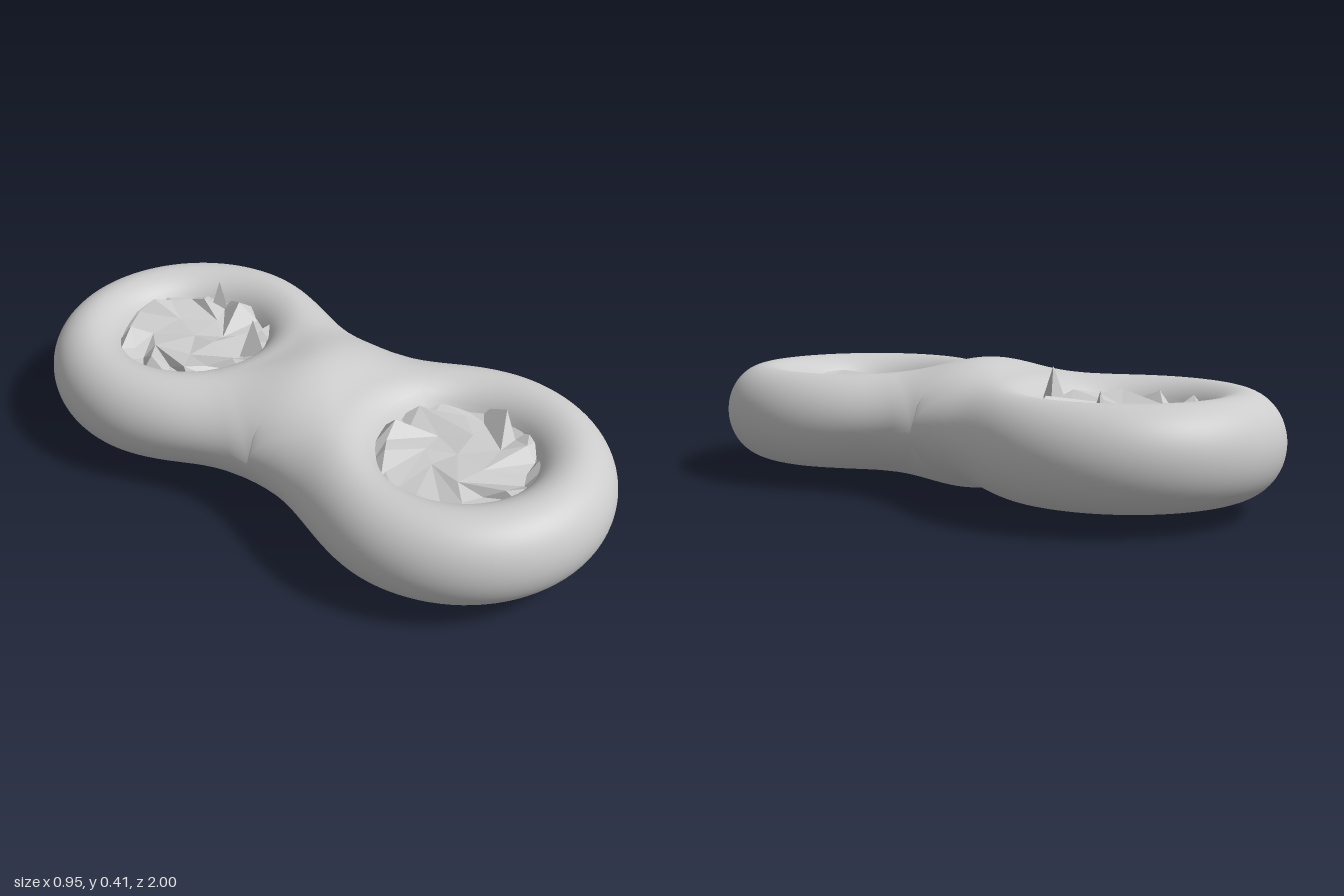
import * as THREE from 'three';
import { mergeVertices } from 'three/addons/utils/BufferGeometryUtils.js';

const MID = 0.207;        // height of the middle plane
const HOLE_Z = 0.525;     // distance of each hole from the centre
const LOBE = 0.475;       // outer radius of a lobe
const NECK = 0.345;       // half width of the waist
const RIM = 0.235;        // radius where the ring wall meets the crumpled caps
const TUBE = 0.13;        // rounding radius of the ring

const round = (d, a) => Math.sqrt(Math.max(0, 1 - (1 - Math.min(Math.max(d, 0) / a, 1)) ** 2));

// Half width of the outline at a given z (z >= 0)
function halfWidth(z) {
  if (z > HOLE_Z) return Math.sqrt(Math.max(0, LOBE ** 2 - (z - HOLE_Z) ** 2));
  return (LOBE + NECK) / 2 - (LOBE - NECK) / 2 * Math.cos(Math.PI * z / HOLE_Z);
}

// Half thickness of the body above a plan point
function halfHeight(x, z) {
  const r = Math.hypot(x, z - HOLE_Z);
  const slope = (LOBE - NECK) / 2 * Math.PI / HOLE_Z * Math.sin(Math.PI * z / HOLE_Z);
  const dOut = z > HOLE_Z ? LOBE - r : (halfWidth(z) - Math.abs(x)) / Math.hypot(1, slope);
  const edge = TUBE + (NECK - TUBE) * Math.exp(-((z / 0.2) ** 2));
  const full = 0.15 + 0.055 * Math.exp(-((z / 0.15) ** 2));
  return full * round(dOut, edge) * round(r - 0.22, TUBE);
}

// Length of a ray from the hole centre to the outline or the waist plane
function reach(angle) {
  let lo = RIM, hi = 0.8;
  for (let i = 0; i < 40; i++) {
    const m = (lo + hi) / 2;
    const x = Math.abs(Math.sin(angle)) * m, z = HOLE_Z + Math.cos(angle) * m;
    if (z >= 0 && x < halfWidth(z)) lo = m; else hi = m;
  }
  return lo;
}

// Smooth two-holed body: one lobe patch mirrored up/down and front/back
function bodyGeometry() {
  const corner = Math.PI - Math.atan(NECK / HOLE_Z);
  const half = [];
  for (let i = 0; i < 36; i++) half.push(corner * i / 36);
  for (let i = 0; i < 14; i++) half.push(corner + (Math.PI - corner) * i / 14);
  const angles = [...half, Math.PI, ...half.slice(1).reverse().map(a => 2 * Math.PI - a)];
  const rings = 24, n = angles.length;
  const pos = [], idx = [];
  for (const sy of [1, -1]) for (const sz of [1, -1]) {
    const base = pos.length / 3;
    for (const a of angles) {
      const end = reach(a);
      for (let j = 0; j <= rings; j++) {
        const r = RIM + (end - RIM) * Math.sin(j / rings * Math.PI / 2);
        const x = Math.sin(a) * r;
        let z = HOLE_Z + Math.cos(a) * r;
        if (z < 1e-6) z = 0;
        const h = j === rings && z > 0 ? 0 : halfHeight(x, z);
        pos.push(x, MID + sy * h, sz * z);
      }
    }
    for (let i = 0; i < n; i++) for (let j = 0; j < rings; j++) {
      const a = base + i * (rings + 1) + j, b = base + ((i + 1) % n) * (rings + 1) + j;
      if (sy * sz > 0) idx.push(a, a + 1, b, b, a + 1, b + 1);
      else idx.push(a, b, a + 1, b, b + 1, a + 1);
    }
  }
  let g = new THREE.BufferGeometry();
  g.setAttribute('position', new THREE.Float32BufferAttribute(pos, 3));
  g.setIndex(idx);
  g = mergeVertices(g, 1e-4);
  g.computeVertexNormals();
  return g;
}

function seeded(seed) {
  let s = seed;
  return () => (s = (s * 16807) % 2147483647) / 2147483647;
}

// Crumpled sheet closing one side of a hole
function capGeometry(sy, seed) {
  const rand = seeded(seed), jit = a => (rand() * 2 - 1) * a;
  const n = 21, pos = [], idx = [];
  const ring = (count, radius, dr, height, dh) => {
    for (let i = 0; i < count; i++) {
      const a = (i + jit(0.25)) / count * Math.PI * 2, r = radius + jit(dr);
      pos.push(Math.sin(a) * r, sy * (height + jit(dh)), Math.cos(a) * r);
    }
  };
  ring(n, 0.255, 0.004, 0.085, 0.012);
  ring(n, 0.215, 0.025, 0.095, 0.035);
  ring(7, 0.12, 0.03, 0.085, 0.015);
  pos.push(0, sy * 0.085, 0);
  const tri = (a, b, c) => (sy > 0 ? idx.push(a, b, c) : idx.push(a, c, b));
  for (let i = 0; i < n; i++) {
    const k = (i + 1) % n;
    const p = 2 * n + Math.floor(i / 3), q = 2 * n + Math.floor(k / 3);
    tri(i, k, n + i);
    tri(k, n + k, n + i);
    tri(n + i, n + k, p);
    if (p !== q) {
      tri(n + k, q, p);
      tri(p, q, 2 * n + 7);
    }
  }
  const g = new THREE.BufferGeometry();
  g.setAttribute('position', new THREE.Float32BufferAttribute(pos, 3));
  g.setIndex(idx);
  const flat = g.toNonIndexed();
  flat.computeVertexNormals();
  return flat;
}

export function createModel() {
  const model = new THREE.Group();
  const smooth = new THREE.MeshStandardMaterial({ color: 0xcccccc });
  const faceted = new THREE.MeshStandardMaterial({ color: 0xcccccc, flatShading: true, side: THREE.DoubleSide });
  const add = (name, geometry, material, x, y, z) => {
    const mesh = new THREE.Mesh(geometry, material);
    mesh.name = name;
    mesh.position.set(x, y, z);
    model.add(mesh);
    return mesh;
  };

  add('body', bodyGeometry(), smooth, 0, 0, 0);

  // Crumpled caps above and below in both holes
  for (const [end, sz] of [['front', 1], ['back', -1]]) {
    add(end + 'UpperCap', capGeometry(1, 311 + sz * 90), faceted, 0, MID, sz * HOLE_Z);
    add(end + 'LowerCap', capGeometry(-1, 977 + sz * 120), faceted, 0, MID, sz * HOLE_Z);
  }

  // Loose shards standing out of the back hole
  const shard = (name, x, y, z, h, r) => add(name, new THREE.ConeGeometry(r, h, 3), faceted, x, y, z);
  shard('tallShard', 0.05, 0.345, -0.31, 0.13, 0.05);
  shard('sideShard', 0.21, 0.325, -0.6, 0.1, 0.035);
  shard('lowerShard', -0.05, 0.085, -0.3, 0.1, 0.045).rotation.x = Math.PI;

  return model;
}
